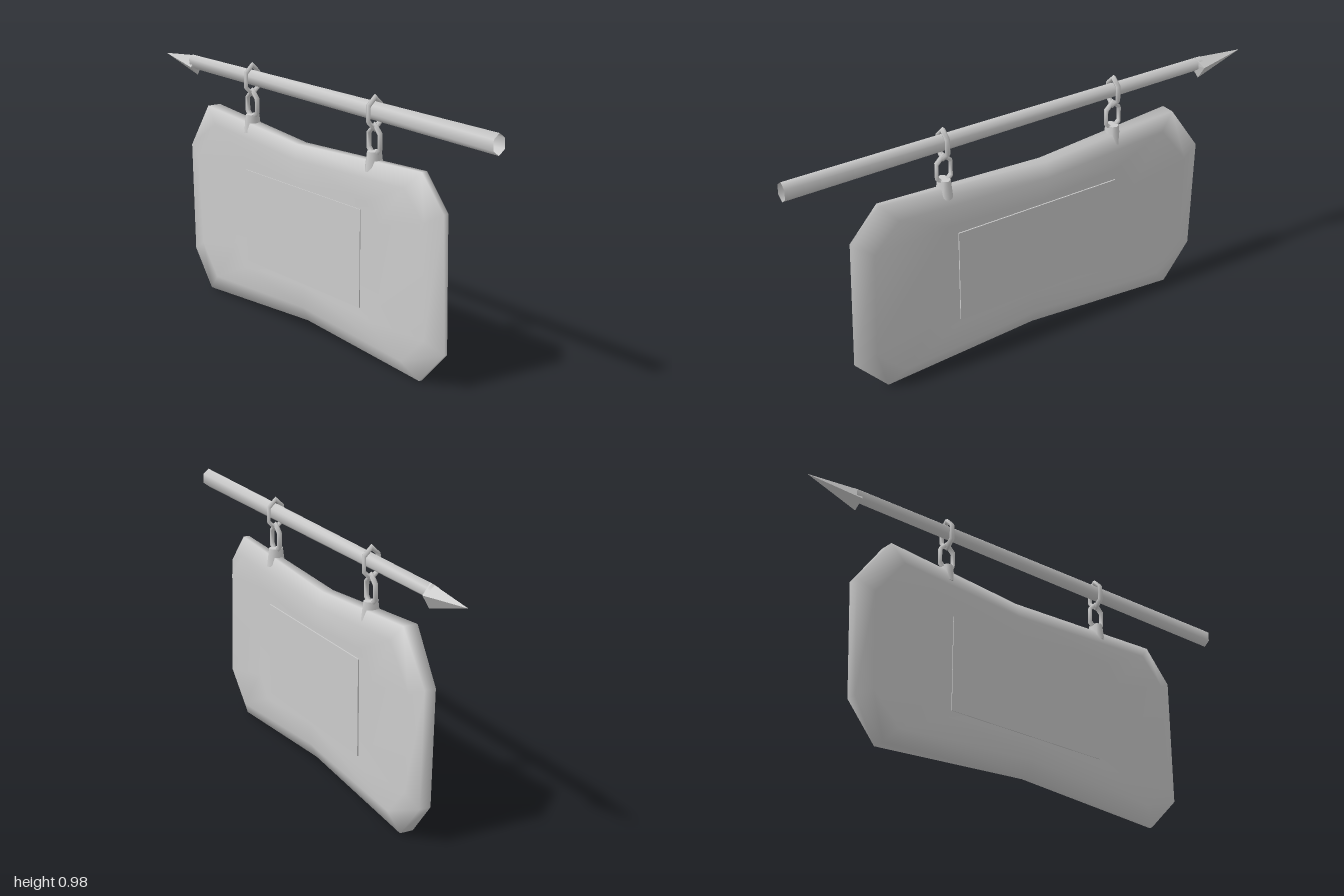
import * as THREE from 'three';

const mat = new THREE.MeshStandardMaterial({ color: 0xcccccc });
const openMat = new THREE.MeshStandardMaterial({ color: 0xcccccc, side: THREE.DoubleSide });
const flatMat = new THREE.MeshStandardMaterial({ color: 0xcccccc, flatShading: true });

function add(parent, name, geo, material = mat) {
  const mesh = new THREE.Mesh(geo, material);
  mesh.name = name;
  parent.add(mesh);
  return mesh;
}

// Skin a stack of closed rings, capped with a centre point at both ends
function skinRings(rings, startPoint, endPoint) {
  const n = rings[0].length;
  const pos = [...rings.flat(2), ...startPoint, ...endPoint];
  const start = rings.length * n, end = start + 1, index = [];
  for (let i = 0; i < n; i++) {
    const j = (i + 1) % n;
    index.push(start, i, j);
    for (let r = 0; r < rings.length - 1; r++) {
      const a = r * n, b = a + n;
      index.push(a + i, b + i, b + j, a + i, b + j, a + j);
    }
    const last = (rings.length - 1) * n;
    index.push(end, last + j, last + i);
  }
  const geo = new THREE.BufferGeometry();
  geo.setAttribute('position', new THREE.Float32BufferAttribute(pos, 3));
  geo.setIndex(index);
  geo.computeVertexNormals();
  return geo;
}

// Worn board outline, counterclockwise: x, y, half rim thickness, front z, back z
const OUTLINE = [
  [0.77, 0.14, 0.006, 0.044, -0.044],
  [0.755, 0.64, 0.01, 0.042, -0.044],
  [0.64, 0.765, 0.012, 0.044, -0.044],
  [-0.06, 0.73, 0.022, 0.036, -0.042],
  [-0.65, 0.775, 0.028, 0.036, -0.045],
  [-0.785, 0.59, 0.022, 0.036, -0.042],
  [-0.77, 0.15, 0.022, 0.03, -0.042],
  [-0.65, 0.01, 0.026, 0.036, -0.044],
  [0, 0.05, 0.016, 0.042, -0.042],
  [0.64, 0.005, 0.006, 0.044, -0.044],
];

function boardGeometry() {
  const cy = 0.39;
  const ring = (sx, sy, z) => OUTLINE.map((p) => [p[0] * sx, cy + (p[1] - cy) * sy, z(p)]);
  return skinRings([
    ring(0.58, 0.58, () => 0.036),
    ring(0.91, 0.83, (p) => p[3]),
    ring(1, 1, (p) => p[2]),
    ring(1, 1, (p) => -p[2]),
    ring(0.91, 0.83, (p) => p[4]),
    ring(0.58, 0.58, () => -0.039),
  ], [0, cy, 0.036], [0, cy, -0.039]);
}

// Arrowhead: an uneven pyramid pointing to -x
function arrowheadGeometry() {
  const base = [[-0.77, 0.958, 0], [-0.79, 0.925, -0.042], [-0.785, 0.875, -0.012], [-0.78, 0.91, 0.024]];
  return skinRings([base], [-1, 0.935, 0], [-0.77, 0.928, 0]);
}

// Six-sided chain link, taller than wide, lying in the xy plane
function linkGeometry() {
  return new THREE.TorusGeometry(0.055, 0.011, 5, 6).rotateZ(Math.PI / 2).scale(0.62, 1.03, 1);
}

export function createModel() {
  const model = new THREE.Group();
  model.name = 'hangingSign';

  // Board with a flat panel on each side
  add(model, 'board', boardGeometry());
  for (const [name, z] of [['frontPanel', 0.036], ['backPanel', -0.041]]) {
    add(model, name, new THREE.BoxGeometry(0.71, 0.37, 0.006)).position.set(-0.015, 0.385, z);
  }

  // Pole, slightly thicker at its open +x end
  const pole = add(model, 'pole',
    new THREE.CylinderGeometry(0.028, 0.038, 1.8, 6, 1, true).rotateZ(Math.PI / 2), openMat);
  pole.geometry.rotateX(Math.PI / 2);
  // Turn a corner of the hexagon upward and narrow it in depth
  const p = pole.geometry.attributes.position;
  const top = Math.max(...Array.from({ length: p.count }, (_, i) => p.getY(i)));
  if (top < 0.037) pole.geometry.rotateX(Math.PI / 2);
  pole.geometry.scale(1, 1, 0.75);
  pole.geometry.computeVertexNormals();
  pole.position.set(0.1, 0.929, 0);
  add(model, 'arrowhead', arrowheadGeometry(), flatMat);

  // Two hangers: ring round the pole, link below it, clasp on the board
  for (const [name, x] of [['rightHanger', -0.38], ['leftHanger', 0.37]]) {
    const hanger = new THREE.Group();
    hanger.name = name;
    hanger.position.x = x;
    add(hanger, 'poleRing', linkGeometry().rotateY(Math.PI / 2)).position.y = 0.921;
    add(hanger, 'link', linkGeometry()).position.y = 0.822;
    add(hanger, 'clasp', new THREE.CylinderGeometry(0.022, 0.029, 0.07, 8).scale(1, 1, 1.35))
      .position.y = 0.75;
    model.add(hanger);
  }
  return model;
}
